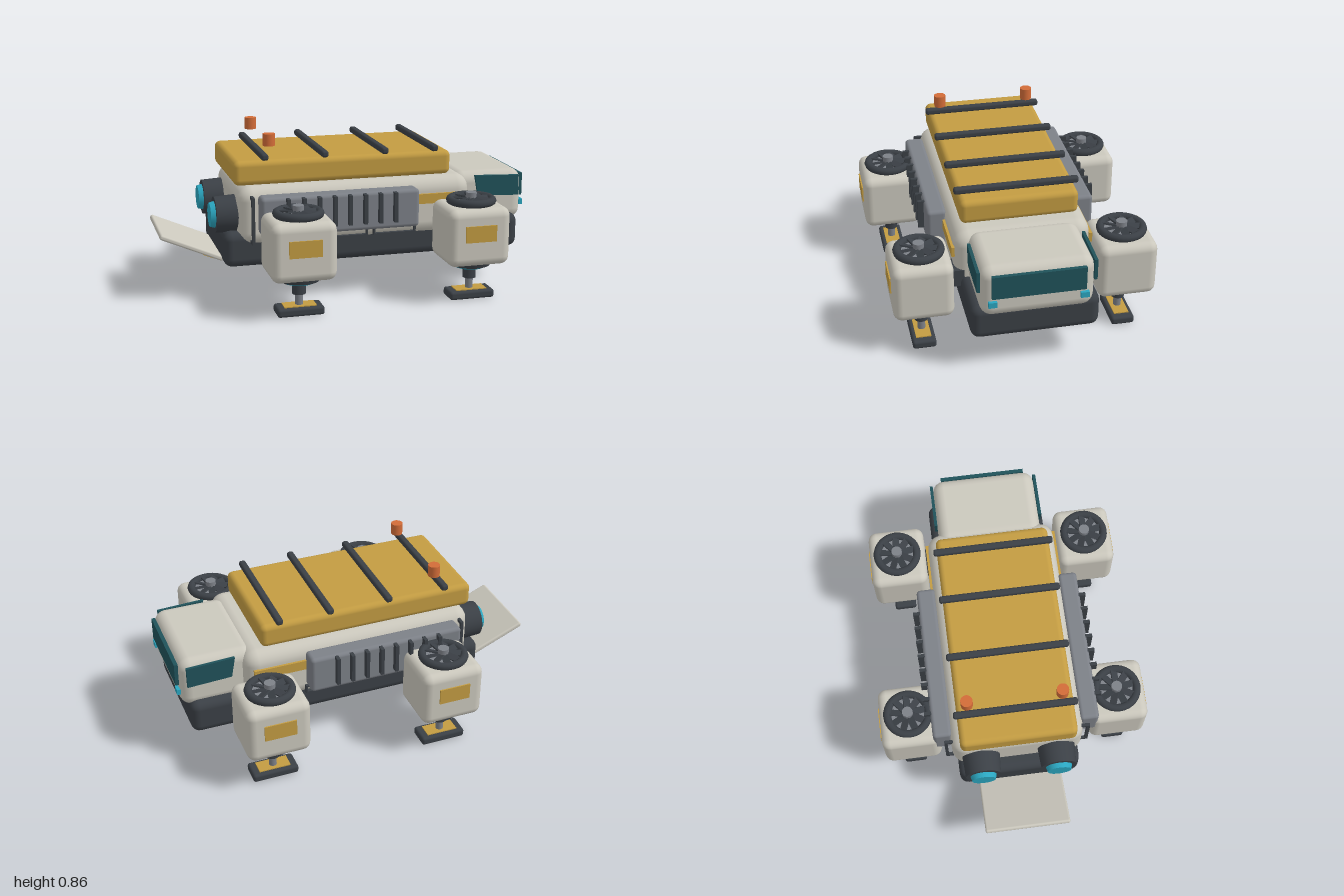
import * as THREE from 'three';
import { RoundedBoxGeometry } from 'three/addons/geometries/RoundedBoxGeometry.js';

const mat = (name, color) => {
  const m = new THREE.MeshStandardMaterial({ color });
  m.name = name;
  return m;
};

export function createModel() {
  const white = mat('hull white', 0xcbc8bd);
  const yellow = mat('cargo yellow', 0xc39c42);
  const dark = mat('dark metal', 0x3b4046);
  const grey = mat('panel grey', 0x7d8188);
  const glass = mat('window teal', 0x20525a);
  const cyan = mat('light cyan', 0x2ba6c0);
  const orange = mat('beacon orange', 0xd26c38);

  const model = new THREE.Group();
  model.name = 'transportCraft';
  const craft = new THREE.Group();
  craft.name = 'craft';
  craft.rotation.y = 0.065;
  craft.position.z = -0.012;
  model.add(craft);

  const add = (parent, name, geo, material, x, y, z) => {
    const m = new THREE.Mesh(geo, material);
    m.name = name;
    m.position.set(x, y, z);
    parent.add(m);
    return m;
  };
  const box = (p, n, m, w, h, d, x, y, z) => add(p, n, new THREE.BoxGeometry(w, h, d), m, x, y, z);
  const round = (p, n, m, w, h, d, r, x, y, z) => add(p, n, new RoundedBoxGeometry(w, h, d, 3, r), m, x, y, z);
  const cyl = (p, n, m, r, h, x, y, z, rb = r) => add(p, n, new THREE.CylinderGeometry(r, rb, h, 28), m, x, y, z);

  // Hull, cab and cargo
  round(craft, 'lowerHull', dark, 1.6, 0.185, 0.64, 0.045, 0.13, 0.2775, 0);
  round(craft, 'upperHull', white, 1.24, 0.31, 0.69, 0.075, 0.025, 0.45, 0);
  round(craft, 'cab', white, 0.39, 0.275, 0.56, 0.06, 0.77, 0.467, 0);
  round(craft, 'cargoCover', yellow, 1.155, 0.127, 0.6, 0.03, -0.033, 0.67, 0);
  for (const x of [-0.453, -0.14, 0.18, 0.45]) {
    round(craft, 'cargoStrap', dark, 0.036, 0.034, 0.635, 0.012, x, 0.752, 0);
  }

  // Windshield and side window outline
  box(craft, 'windshield', glass, 0.02, 0.122, 0.46, 0.972, 0.512, 0);
  const pane = new THREE.Shape();
  pane.moveTo(0.685, 0.588);
  pane.lineTo(0.705, 0.478);
  pane.lineTo(0.935, 0.468);
  pane.lineTo(0.935, 0.578);
  const paneGeo = new THREE.ExtrudeGeometry(pane, { depth: 0.016, bevelEnabled: false });

  for (const s of [-1, 1]) {
    add(craft, 'sideWindow', paneGeo, glass, 0, 0, s * 0.287 - 0.008);
    box(craft, 'headlight', cyan, 0.02, 0.03, 0.042, 0.971, 0.417, s * 0.225);
    cyl(craft, 'beacon', orange, 0.031, 0.062, -0.418, 0.83, s * 0.242);

    // Side equipment panel with ribs
    round(craft, 'sidePanel', grey, 0.83, 0.2, 0.1, 0.02, -0.085, 0.47, s * 0.385);
    for (let i = 0; i < 8; i++) {
      box(craft, 'panelRib', dark, 0.018, 0.155, 0.04, -0.365 + i * 0.08, 0.487, s * 0.446);
    }
    box(craft, 'sideStripe', yellow, 0.3, 0.052, 0.016, 0.455, 0.495, s * 0.35);

    // Thin rail frames below the panel
    for (const x of [-0.3, -0.04, 0.22]) {
      for (const y of [0.325, 0.362]) box(craft, 'railBar', dark, 0.23, 0.009, 0.02, x, y, s * 0.352);
      for (const e of [-0.11, 0.11]) box(craft, 'railPost', dark, 0.009, 0.04, 0.02, x + e, 0.343, s * 0.352);
    }
    box(craft, 'grabRail', dark, 0.016, 0.24, 0.016, -0.53, 0.44, s * 0.372);
    for (const y of [0.325, 0.555]) box(craft, 'grabRailEnd', dark, 0.016, 0.016, 0.05, -0.53, y, s * 0.352);

    // Rear engine
    const engine = new THREE.Group();
    engine.name = 'engine';
    engine.position.set(-0.56, 0.445, s * 0.198);
    engine.rotation.z = Math.PI / 2;
    craft.add(engine);
    cyl(engine, 'engineHousing', dark, 0.092, 0.14, 0, 0.07, 0, 0.1);
    cyl(engine, 'engineGlow', cyan, 0.062, 0.03, 0, 0.15, 0, 0.07);
  }

  // Loading ramp hinged at the back
  const ramp = new THREE.Group();
  ramp.name = 'ramp';
  ramp.position.set(-0.665, 0.205, 0);
  ramp.rotation.z = -0.41;
  craft.add(ramp);
  round(ramp, 'rampDeck', white, 0.35, 0.026, 0.445, 0.01, -0.172, 0.006, 0);
  box(ramp, 'rampStripe', yellow, 0.06, 0.008, 0.38, -0.07, -0.01, 0);

  // Lift pods with fan, leg and foot
  const makePod = (x, z, s) => {
    const pod = new THREE.Group();
    pod.name = 'liftPod';
    pod.position.set(x, 0, z);
    craft.add(pod);
    round(pod, 'podBody', white, 0.33, 0.3, 0.305, 0.045, 0, 0.35, 0);
    box(pod, 'podPlate', yellow, 0.165, 0.085, 0.009, 0, 0.375, s * 0.155);
    box(pod, 'podArm', dark, 0.12, 0.09, 0.2, 0, 0.36, -s * 0.2);

    const ring = add(pod, 'fanRing', new THREE.TorusGeometry(0.108, 0.021, 10, 32), dark, 0, 0.518, 0);
    ring.rotation.x = Math.PI / 2;
    cyl(pod, 'fanBed', grey, 0.108, 0.02, 0, 0.503, 0);
    for (let i = 0; i < 9; i++) {
      const arm = new THREE.Group();
      arm.name = 'fanBladeArm';
      arm.rotation.y = (i / 9) * Math.PI * 2;
      pod.add(arm);
      const blade = box(arm, 'fanBlade', dark, 0.085, 0.008, 0.036, 0.066, 0.525, 0);
      blade.rotation.x = 0.35;
    }
    cyl(pod, 'fanHub', grey, 0.028, 0.05, 0, 0.533, 0);

    cyl(pod, 'thrusterCollar', dark, 0.115, 0.03, 0, 0.193, 0, 0.105);
    const glow = add(pod, 'thrusterGlow', new THREE.TorusGeometry(0.076, 0.013, 8, 32), cyan, 0, 0.178, 0);
    glow.rotation.x = Math.PI / 2;
    cyl(pod, 'legSleeve', dark, 0.034, 0.085, 0, 0.147, 0);
    cyl(pod, 'legPiston', grey, 0.02, 0.08, 0, 0.08, 0);
    round(pod, 'foot', dark, 0.24, 0.044, 0.12, 0.014, 0, 0.022, 0);
    box(pod, 'footPad', yellow, 0.165, 0.006, 0.078, 0, 0.046, 0);
  };
  for (const s of [-1, 1]) {
    makePod(-0.34, s * 0.552, s);
    makePod(0.578, s * 0.517, s);
  }

  return model;
}
